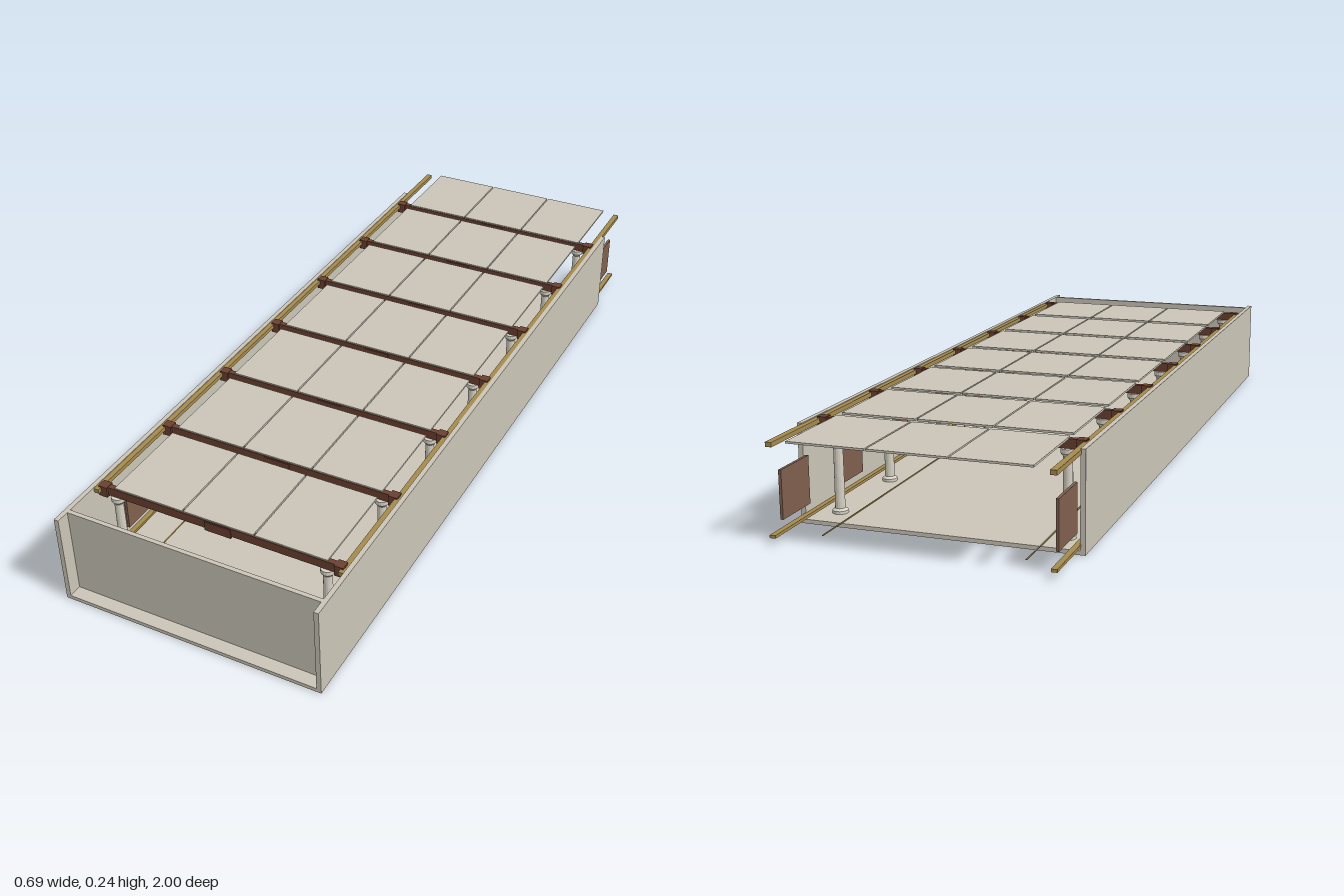
import * as THREE from 'three';

const mat = (name, color) => {
  const m = new THREE.MeshStandardMaterial({ color });
  m.name = name;
  return m;
};

export function createModel() {
  const stone = mat('warm stone', 0xcac5b7);
  const pillarStone = mat('pale stone', 0xd8d3c6);
  const wood = mat('dark wood', 0x6b4030);
  const canvas = mat('brown canvas', 0x80604e);
  const gold = mat('aged gold', 0xa58a4e);

  const model = new THREE.Group();
  model.name = 'longHall';

  // Box given by its lower and upper limits on each axis
  const box = (name, material, [x0, x1], [y0, y1], [z0, z1]) => {
    const mesh = new THREE.Mesh(new THREE.BoxGeometry(x1 - x0, y1 - y0, z1 - z0), material);
    mesh.position.set((x0 + x1) / 2, (y0 + y1) / 2, (z0 + z1) / 2);
    mesh.name = name;
    model.add(mesh);
  };
  // Same box on both sides of the hall
  const pair = (name, material, [x0, x1], y, z) => {
    box(name + 'Left', material, [x0, x1], y, z);
    box(name + 'Right', material, [-x1, -x0], y, z);
  };

  // Shell: floor, side walls and recessed end wall
  box('floor', stone, [-0.343, 0.343], [0, 0.01], [-0.84, 1]);
  pair('sideWall', stone, [0.331, 0.343], [0.01, 0.239], [-0.84, 1]);
  box('endWall', stone, [-0.331, 0.331], [0.01, 0.239], [0.955, 0.966]);

  // Long gold trims
  pair('cornice', gold, [0.318, 0.333], [0.226, 0.237], [-1, 0.865]);
  pair('skirtingRail', gold, [0.319, 0.333], [0.018, 0.025], [-1, 0.865]);
  pair('floorInlay', gold, [0.239, 0.242], [0.01, 0.012], [-0.93, 0.92]);

  // Column with flared base and capital
  const profile = [[0, 0.01], [0.019, 0.01], [0.019, 0.017], [0.012, 0.022],
    [0.011, 0.198], [0.017, 0.206], [0.017, 0.217], [0, 0.217]];
  const columnShape = new THREE.LatheGeometry(profile.map(([r, y]) => new THREE.Vector2(r, y)), 16);
  columnShape.deleteAttribute('normal');
  const columnGeometry = columnShape.toNonIndexed();
  columnGeometry.computeVertexNormals();

  // Seven repeating bays
  const pitch = 0.2685;
  for (let i = 0; i < 7; i++) {
    const z = 0.843 - i * pitch;

    // Cross beam with end brackets and a small middle block
    box('crossBeam', wood, [-0.326, 0.326], [0.217, 0.2395], [z - 0.007, z + 0.007]);
    pair('beamBracket', wood, [0.302, 0.325], [0.212, 0.2405], [z - 0.012, z + 0.012]);
    box('beamBoss', wood, [-0.035, 0.035], [0.212, 0.237], [z - 0.009, z + 0.009]);

    for (const side of [-1, 1]) {
      const column = new THREE.Mesh(columnGeometry, pillarStone);
      column.name = side > 0 ? 'columnLeft' : 'columnRight';
      column.position.set(side * 0.28, 0, z);
      model.add(column);
    }

    // Three ceiling panels behind each beam
    for (let c = -1; c <= 1; c++) {
      const x = c * 0.19;
      box('ceilingPanel', stone, [x - 0.093, x + 0.093], [0.238, 0.243],
        [Math.max(-1, z - 0.238), z + 0.005]);
    }

    // Wall hanging in the middle of the bay
    const mid = z - pitch / 2;
    pair('wallHanging', canvas, [0.318, 0.325], [0.05, 0.165], [mid - 0.062, mid + 0.062]);
  }

  return model;
}
